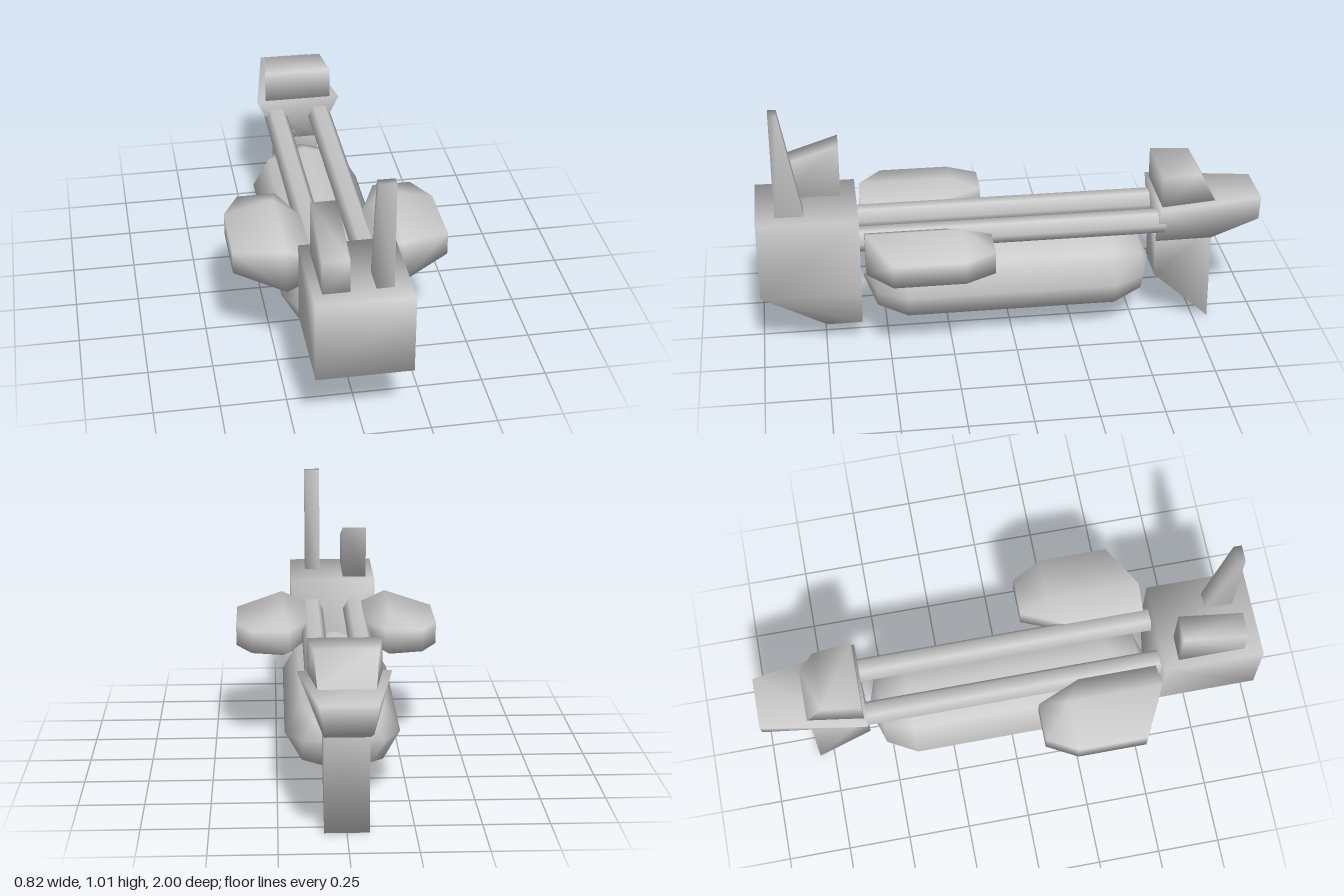
import * as THREE from 'three';
import { mergeVertices } from 'three/addons/utils/BufferGeometryUtils.js';
import { ConvexGeometry } from 'three/addons/geometries/ConvexGeometry.js';

const material = new THREE.MeshStandardMaterial({ color: 0xcccccc });

// Smooth-shaded convex block through a few corner points
function hull(name, points) {
  let geo = new ConvexGeometry(points.map((p) => new THREE.Vector3(...p)));
  geo.deleteAttribute('normal');
  geo = mergeVertices(geo, 1e-4);
  geo.computeVertexNormals();
  const mesh = new THREE.Mesh(geo, material);
  mesh.name = name;
  return mesh;
}

// Corners given for +x, repeated on -x
const mirrored = (points) => points.flatMap(([x, y, z]) => [[x, y, z], [-x, y, z]]);

// Side profile of [y, z] points spanning x0..x1
const slab = (x0, x1, profile) => profile.flatMap(([y, z]) => [[x0, y, z], [x1, y, z]]);

export function createModel() {
  const model = new THREE.Group();

  // Nose block with chamfered chin
  model.add(hull('noseBlock', mirrored([
    [0.18, 0.588, 1], [0.18, 0.27, 1], [0.18, 0.588, 0.605], [0.18, 0.27, 0.605],
    [0.1, 0.087, 0.605], [0.1, 0.087, 0.745],
  ])));

  // Tapered mast and sloped turret on the nose
  model.add(hull('mast', slab(0.05, 0.115, [
    [0.57, 0.925], [0.57, 0.81], [1.015, 0.925], [1.015, 0.893],
  ])));
  model.add(hull('turret', slab(-0.145, -0.045, [
    [0.57, 0.93], [0.57, 0.665], [0.72, 0.93], [0.805, 0.665],
  ])));

  // Eight-sided tank with rounded ends
  const profile = [];
  for (const end of [-1, 1]) {
    for (let i = 0; i <= 2; i++) {
      const a = (end < 0 ? 2 - i : i) * Math.PI / 4;
      profile.push(new THREE.Vector2(Math.cos(a), end * (0.415 + 0.165 * Math.sin(a))));
    }
  }
  profile[0].x = profile[5].x = 0;
  const tankGeo = new THREE.LatheGeometry(profile, 8);
  tankGeo.scale(0.22, 1, 0.16);
  tankGeo.rotateX(Math.PI / 2);
  const tank = new THREE.Mesh(tankGeo, material);
  tank.name = 'tank';
  tank.position.set(0, 0.25, 0.01);
  model.add(tank);

  for (const s of [1, -1]) {
    const side = s > 0 ? 'left' : 'right';

    // Hexagonal rail joining nose and tail
    const railGeo = new THREE.CylinderGeometry(0.049, 0.049, 1.24, 6);
    railGeo.rotateY(Math.PI / 2);
    railGeo.rotateX(Math.PI / 2);
    railGeo.rotateZ(0);
    const rail = new THREE.Mesh(railGeo, material);
    rail.name = side + 'Rail';
    rail.position.set(s * 0.0925, 0.4625, 0.01);
    model.add(rail);

    // Side pod: [x, low y, high y, z]
    const pod = [
      [0.41, 0.415, 0.505, 0.49], [0.41, 0.415, 0.505, 0.215],
      [0.22, 0.372, 0.547, 0.585], [0.22, 0.372, 0.547, 0.21],
      [0.12, 0.42, 0.5, 0.585], [0.12, 0.42, 0.5, 0.27],
      [0.345, 0.415, 0.505, 0.095], [0.195, 0.415, 0.505, 0.095],
    ].flatMap(([x, lo, hi, z]) => [[s * x, lo, z], [s * x, hi, z]]);
    model.add(hull(side + 'Pod', pod));
  }

  // Tail deck, cabin and lower fin
  model.add(hull('tailDeck', mirrored([
    [0.175, 0.545, -0.582], [0.085, 0.365, -0.582], [0.083, 0.365, -0.81],
    [0.104, 0.545, -1], [0.085, 0.44, -1],
  ])));
  model.add(hull('cabin', mirrored([
    [0.138, 0.53, -0.592], [0.138, 0.673, -0.592], [0.118, 0.673, -0.745],
    [0.105, 0.543, -0.815], [0.105, 0.53, -0.815],
  ])));
  model.add(hull('tailFin', slab(-0.083, 0.083, [
    [0.4, -0.582], [0.21, -0.582], [0, -0.81], [0.4, -0.81],
  ])));

  return model;
}
